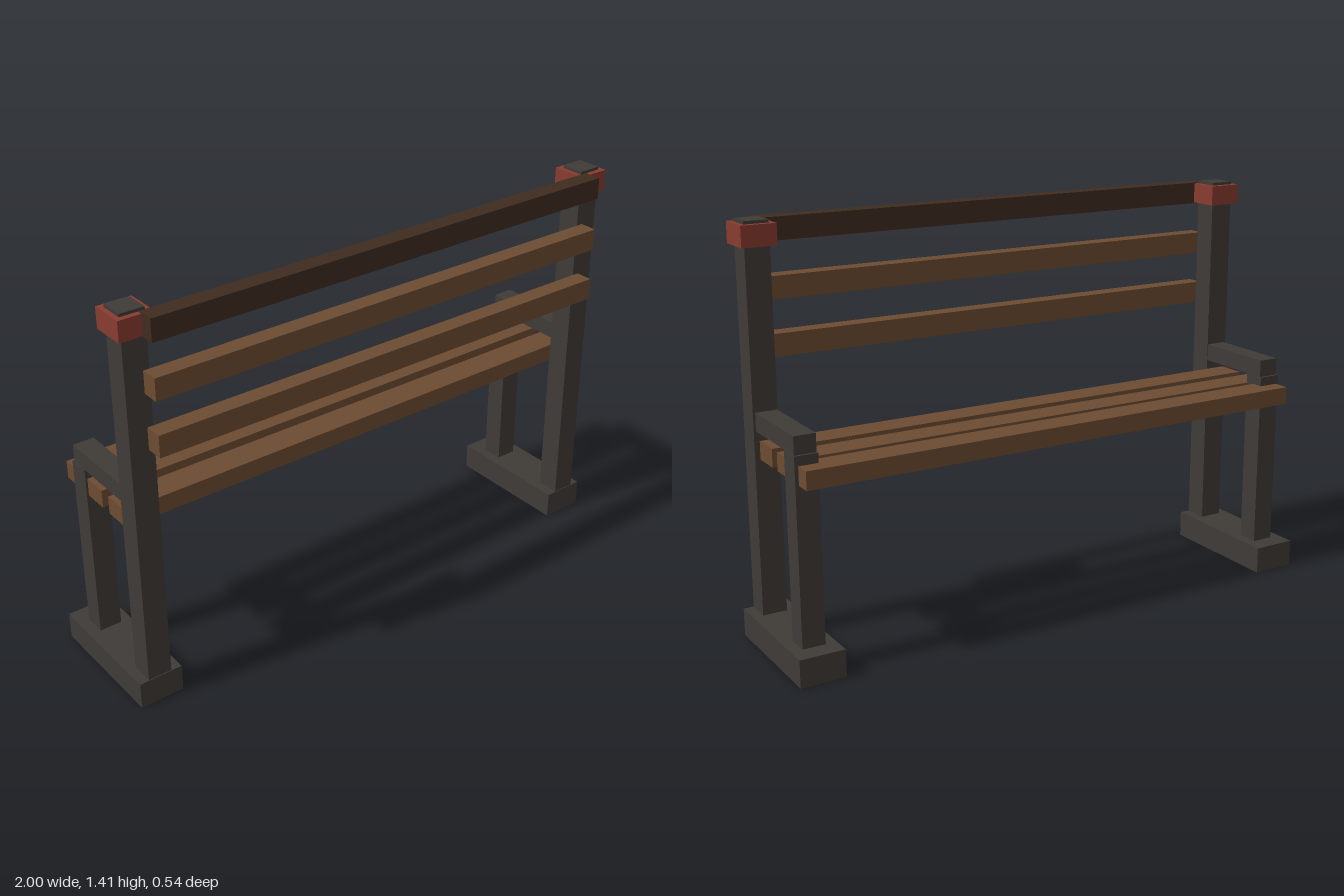
import * as THREE from 'three';

const metal = new THREE.MeshStandardMaterial({ color: 0x3f3b37 });
const wood = new THREE.MeshStandardMaterial({ color: 0x6c4b32 });
const darkWood = new THREE.MeshStandardMaterial({ color: 0x402c20 });
const red = new THREE.MeshStandardMaterial({ color: 0x883c30 });

// Box given by its extents along each axis
function bar(name, material, [x0, x1], [y0, y1], [z0, z1]) {
  const mesh = new THREE.Mesh(new THREE.BoxGeometry(x1 - x0, y1 - y0, z1 - z0), material);
  mesh.position.set((x0 + x1) / 2, (y0 + y1) / 2, (z0 + z1) / 2);
  mesh.name = name;
  return mesh;
}

// One end frame; side is +1 for left, -1 for right
function endFrame(side) {
  const frame = new THREE.Group();
  frame.name = side > 0 ? 'leftFrame' : 'rightFrame';
  const span = (a, b) => (side > 0 ? [a, b] : [-b, -a]);
  frame.add(
    bar('foot', metal, span(0.842, 1), [0, 0.096], [-0.268, 0.206]),
    bar('tallPost', metal, span(0.88, 0.965), [0.096, 1.414], [0.118, 0.203]),
    bar('shortPost', metal, span(0.88, 0.96), [0.096, 0.735], [-0.199, -0.12]),
    bar('armrest', metal, span(0.882, 0.957), [0.735, 0.797], [-0.191, 0.118]),
    bar('postCollar', red, span(0.862, 0.982), [1.333, 1.404], [0.098, 0.222])
  );
  return frame;
}

export function createModel() {
  const bench = new THREE.Group();
  bench.name = 'bench';
  bench.add(endFrame(1), endFrame(-1));

  // Seat slats
  for (const z of [-0.207, -0.08, 0.063]) {
    bench.add(bar('seatSlat', wood, [-0.953, 0.948], [0.639, 0.702], [z - 0.051, z + 0.051]));
  }

  // Backrest slats, the top one darker
  [0.948, 1.139, 1.33].forEach((y, i) => {
    bench.add(bar(i === 2 ? 'topRail' : 'backSlat', i === 2 ? darkWood : wood,
      [-0.903, 0.9], [y, y + 0.077], [0.207, 0.27]));
  });
  return bench;
}
